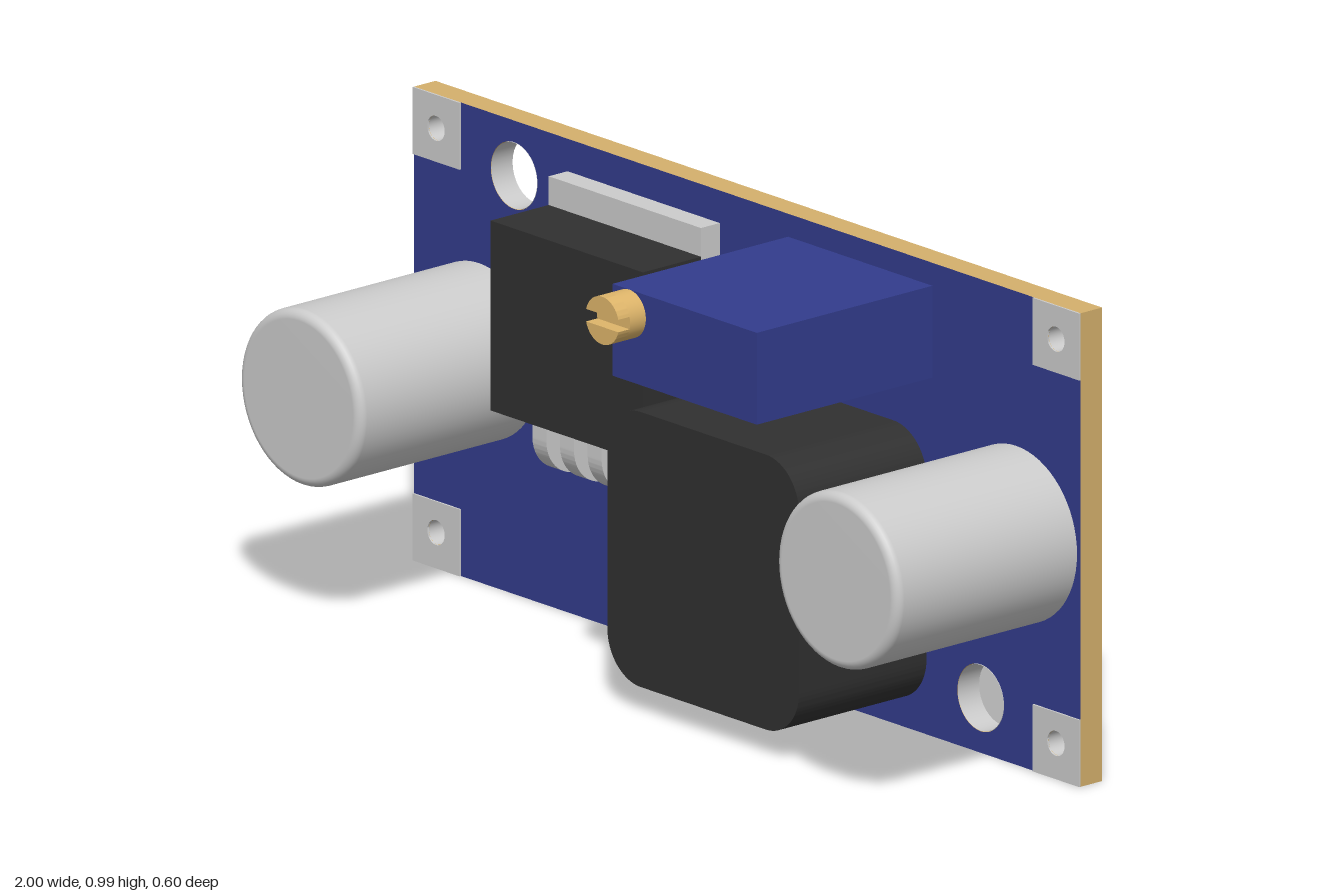
import * as THREE from 'three';
import { toCreasedNormals } from 'three/addons/utils/BufferGeometryUtils.js';

const mat = (color, side = THREE.FrontSide) => new THREE.MeshStandardMaterial({ color, side });
const GREY = mat(0xcccccc), BLUE = mat(0x323c8c), TAN = mat(0xd4b06c);
const DARK = mat(0x303030), BRASS = mat(0xdeb56a), LINING = mat(0xcccccc, THREE.DoubleSide);

const W = 2, H = 0.99, BACK = -0.297, FACE = -0.24;   // board size and its two z planes
const PAD = 0.14, PIN = 0.026, PAD_T = 0.004;

export function createModel() {
  const model = new THREE.Group();

  const add = (name, geometry, material, x = 0, y = 0, z = 0) => {
    const mesh = new THREE.Mesh(geometry, material);
    mesh.name = name;
    mesh.position.set(x, y, z);
    model.add(mesh);
    return mesh;
  };
  // box given by its limits
  const box = (name, material, x0, x1, y0, y1, z0, z1) =>
    add(name, new THREE.BoxGeometry(x1 - x0, y1 - y0, z1 - z0), material,
      (x0 + x1) / 2, (y0 + y1) / 2, (z0 + z1) / 2);
  const extrude = (shape, depth) => toCreasedNormals(
    new THREE.ExtrudeGeometry(shape, { depth, bevelEnabled: false, curveSegments: 24 }), 0.6);
  const rect = (w, h) => new THREE.Shape([
    new THREE.Vector2(-w / 2, -h / 2), new THREE.Vector2(w / 2, -h / 2),
    new THREE.Vector2(w / 2, h / 2), new THREE.Vector2(-w / 2, h / 2)]);
  const hole = (shape, x, y, r) =>
    shape.holes.push(new THREE.Path().absarc(x, y, r, 0, Math.PI * 2, true));

  // Circuit board with mounting holes and pin holes
  const holes = [[-0.7, 0.875, 0.07], [0.7, 0.115, 0.07]];
  for (const x of [-0.93, 0.93]) for (const y of [0.075, 0.92]) holes.push([x, y, PIN]);
  const board = rect(W, H);
  holes.forEach(([x, y, r]) => hole(board, x, y - H / 2, r));
  add('board', extrude(board, FACE - BACK), [BLUE, TAN], 0, H / 2, BACK);

  // Plated lining of each hole
  for (const [x, y, r] of holes) {
    const lining = new THREE.CylinderGeometry(r * 0.985, r * 0.985, FACE - BACK, 32, 1, true);
    add('holeLining', lining.rotateX(Math.PI / 2), LINING, x, y, (FACE + BACK) / 2);
  }

  // Corner solder pads
  for (const sx of [-1, 1]) for (const [y, pinY] of [[PAD / 2, 0.075], [H - PAD / 2, 0.92]]) {
    const pad = rect(PAD, PAD), x = sx * (1 - PAD / 2);
    hole(pad, sx * 0.93 - x, pinY - y, PIN);
    add('solderPad', extrude(pad, PAD_T), GREY, x, y, FACE);
  }

  // Two capacitor cans with rounded front rims
  const R = 0.183, LEN = 0.48, RIM = 0.02;
  const profile = [new THREE.Vector2(R, 0)];
  for (let i = 0; i <= 6; i++) {
    const a = (i / 6) * Math.PI / 2;
    profile.push(new THREE.Vector2(R - RIM + RIM * Math.cos(a), LEN - RIM + RIM * Math.sin(a)));
  }
  profile.push(new THREE.Vector2(0, LEN));
  for (const x of [-0.806, 0.806])
    add('capacitor', new THREE.LatheGeometry(profile, 64).rotateX(Math.PI / 2), GREY, x, 0.484, FACE);

  // Regulator: metal tab, body and five bent legs
  box('regulatorTab', GREY, -0.54, -0.083, 0.465, 0.922, FACE, -0.19);
  box('regulatorBody', DARK, -0.54, -0.083, 0.465, 0.862, -0.19, -0.035);
  const leg = new THREE.Shape();
  leg.moveTo(-0.11, 0.47);
  leg.lineTo(-0.11, 0.405);
  leg.absarc(-0.19, 0.405, 0.08, 0, -Math.PI / 2, true);
  leg.lineTo(FACE, 0.325);
  leg.lineTo(FACE, 0.365);
  leg.absarc(-0.19, 0.405, 0.04, -Math.PI / 2, 0, false);
  leg.lineTo(-0.15, 0.47);
  const legGeometry = extrude(leg, 0.042).rotateY(-Math.PI / 2);
  for (let i = 0; i < 5; i++)
    add('regulatorLeg', legGeometry, GREY, -0.478 + i * 0.083 + 0.021, 0, 0);

  // Inductor block with rounded corners
  const s = 0.2875, c = 0.1, k = s - c;
  const block = new THREE.Shape();
  block.absarc(k, k, c, 0, Math.PI / 2);
  block.absarc(-k, k, c, Math.PI / 2, Math.PI);
  block.absarc(-k, -k, c, Math.PI, Math.PI * 1.5);
  block.absarc(k, -k, c, Math.PI * 1.5, Math.PI * 2);
  add('inductor', extrude(block, 0.1 - FACE), DARK, 0.25, 0.3455, FACE);

  // Trimmer with a slotted screw
  box('trimmer', BLUE, 0.122, 0.555, 0.75, 0.942, FACE, 0.228);
  const SR = 0.05, cut = Math.asin(0.013 / SR);
  add('trimmerScrew', new THREE.CylinderGeometry(SR, SR, 0.042, 48).rotateX(Math.PI / 2),
    BRASS, 0.172, 0.892, 0.249);
  for (const turn of [0, Math.PI]) {
    const half = new THREE.Shape().absarc(0, 0, SR, cut + turn, Math.PI - cut + turn);
    add('trimmerScrewHead', extrude(half, 0.03), BRASS, 0.172, 0.892, 0.27);
  }

  return model;
}
